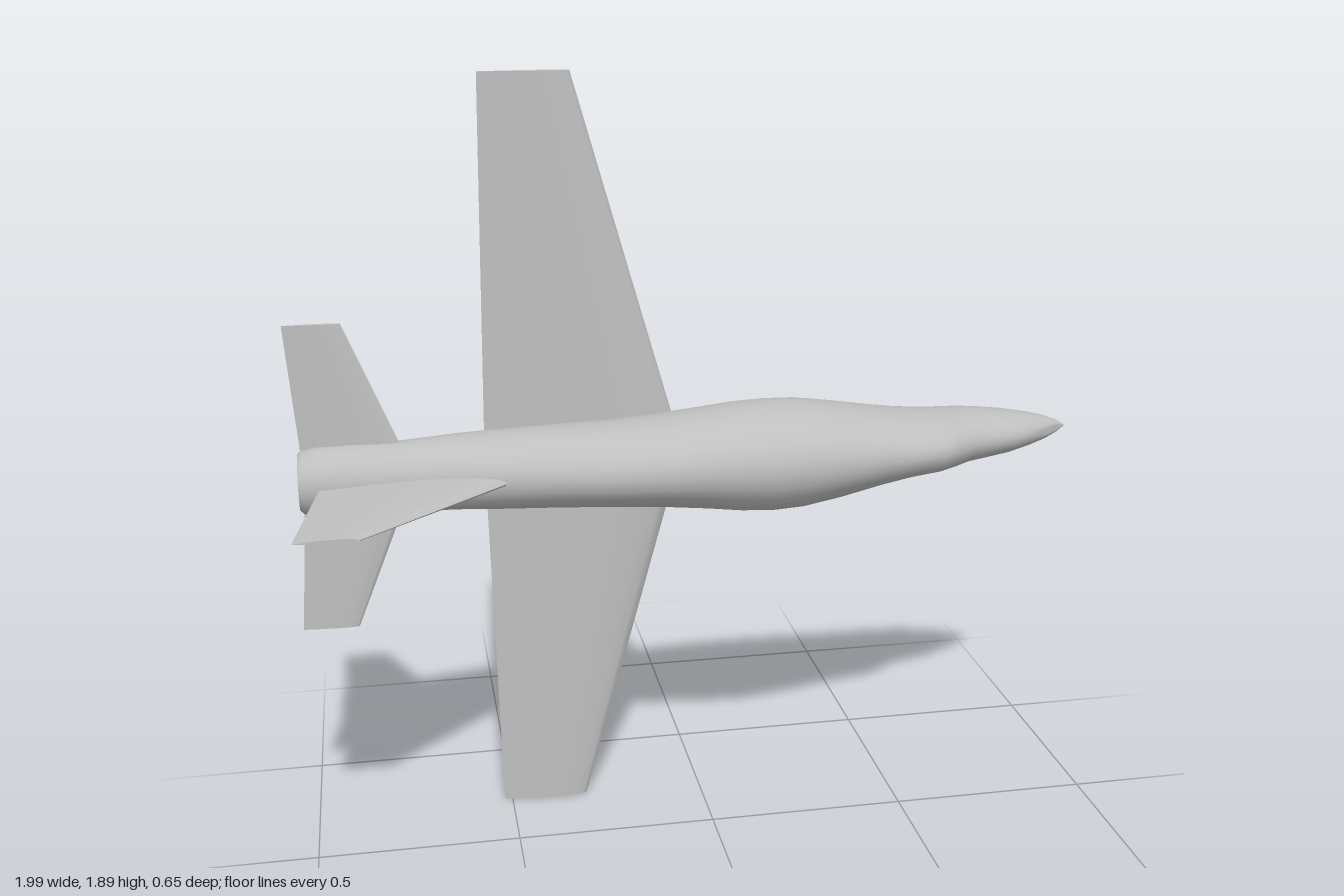
import * as THREE from 'three';
import { toCreasedNormals } from 'three/addons/utils/BufferGeometryUtils.js';

const AXIS_Y = 0.945; // height of the fuselage centreline

// Skin a list of equal-length rings of [x, y, z]
function loft(rings, crease) {
  const n = rings[0].length;
  const index = [];
  for (let i = 0; i < rings.length - 1; i++) {
    for (let j = 0; j < n; j++) {
      const a = i * n + j, b = i * n + (j + 1) % n;
      index.push(a, b, a + n, b, b + n, a + n);
    }
  }
  const geo = new THREE.BufferGeometry();
  geo.setAttribute('position', new THREE.Float32BufferAttribute(rings.flat(2), 3));
  geo.setIndex(index);
  return toCreasedNormals(geo, crease);
}

// Oval ring across the fuselage: x, half width, belly z, spine z
function ovalRing([x, w, z0, z1], sides = 24) {
  return Array.from({ length: sides }, (_, j) => {
    const a = (j / sides) * Math.PI * 2;
    return [x, w * Math.cos(a), (z0 + z1) / 2 + ((z1 - z0) / 2) * Math.sin(a)];
  });
}

// Aerofoil ring: trailing edge x, leading edge x, thickness, span position
function foilRing([te, le, thick, span], sides = 28) {
  return Array.from({ length: sides }, (_, j) => {
    const a = (j / sides) * Math.PI * 2;
    const v = (1 - Math.cos(a)) / 2;
    const h = 5 * thick * (0.2969 * Math.sqrt(v) - 0.126 * v - 0.3516 * v ** 2 + 0.2843 * v ** 3 - 0.1036 * v ** 4);
    return [le + (te - le) * v, h * Math.sign(Math.sin(a)), span];
  });
}

// Tapered flying surface spanning local z, closed at the tip
function surface(root, tip) {
  const end = foilRing(tip);
  const mid = (tip[0] + tip[1]) / 2;
  const cap = end.map(([x, y, z]) => [mid + (x - mid) * 0.9, y * 0.02, z]);
  return loft([foilRing(root), end, cap], 0.7);
}

export function createModel() {
  const model = new THREE.Group();
  const grey = new THREE.MeshStandardMaterial({ color: 0xbfbfc0, side: THREE.DoubleSide });
  grey.name = 'airframe grey';

  const add = (name, geo, y = 0, z = 0, rx = 0) => {
    const mesh = new THREE.Mesh(geo, grey);
    mesh.name = name;
    mesh.position.set(0, y, z);
    mesh.rotation.x = rx;
    model.add(mesh);
  };

  // Fuselage, from inside the exhaust round the lip to the nose
  const stations = [
    [-0.90, 0.002, -0.117, -0.113],
    [-0.975, 0.058, -0.173, -0.057],
    [-0.985, 0.068, -0.183, -0.047],
    [-0.975, 0.078, -0.192, -0.042],
    [-0.94, 0.084, -0.197, -0.04],
    [-0.86, 0.088, -0.203, -0.036],
    [-0.74, 0.086, -0.21, -0.033],
    [-0.60, 0.092, -0.245, -0.022],
    [-0.50, 0.096, -0.257, -0.01],
    [-0.38, 0.099, -0.272, 0.004],
    [-0.24, 0.102, -0.287, 0.028],
    [-0.10, 0.112, -0.296, 0.036],
    [0.00, 0.123, -0.303, 0.041],
    [0.08, 0.133, -0.307, 0.048],
    [0.16, 0.137, -0.31, 0.053],
    [0.24, 0.134, -0.313, 0.045],
    [0.34, 0.118, -0.317, 0.029],
    [0.45, 0.097, -0.322, 0.004],
    [0.53, 0.083, -0.325, -0.008],
    [0.60, 0.076, -0.326, -0.02],
    [0.65, 0.072, -0.325, -0.05],
    [0.70, 0.068, -0.324, -0.088],
    [0.76, 0.062, -0.321, -0.106],
    [0.82, 0.054, -0.312, -0.122],
    [0.88, 0.043, -0.295, -0.152],
    [0.93, 0.031, -0.272, -0.182],
    [0.97, 0.016, -0.248, -0.21],
    [0.992, 0.002, -0.232, -0.228],
  ];
  add('fuselage', loft(stations.map(s => ovalRing(s)), 0.9), AXIS_Y);

  // Wings and tailplanes, one on each side
  const wing = surface([-0.537, -0.038, 0.05, 0], [-0.52, -0.302, 0.028, 0.945]);
  const tailplane = surface([-0.972, -0.71, 0.024, 0], [-1, -0.865, 0.012, 0.382]);
  for (const [side, rx] of [['left', -Math.PI / 2], ['right', Math.PI / 2]]) {
    add(side + 'Wing', wing, AXIS_Y, -0.215, rx);
    add(side + 'Tailplane', tailplane, AXIS_Y, -0.122, rx);
  }

  // Fin
  add('fin', surface([-0.935, -0.445, 0.036, -0.06], [-0.99, -0.845, 0.012, 0.32]), AXIS_Y);

  return model;
}
